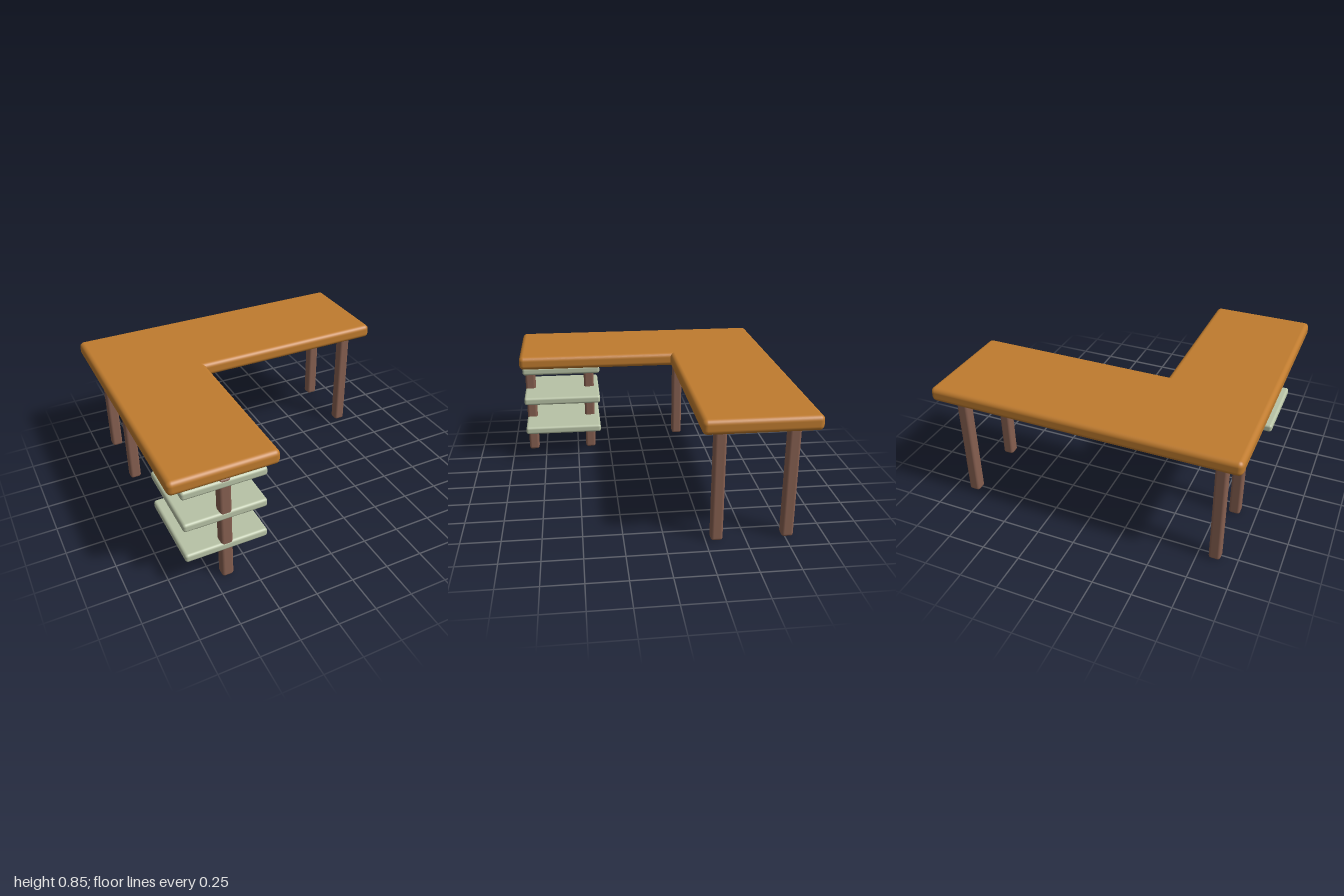
import * as THREE from 'three';
import { RoundedBoxGeometry } from 'three/addons/geometries/RoundedBoxGeometry.js';

const material = (name, color) => {
  const m = new THREE.MeshStandardMaterial({ color });
  m.name = name;
  return m;
};

// Rounded block given by its extents on each axis
function block(name, [x0, x1], [y0, y1], [z0, z1], radius, segments, mat) {
  const geometry = new RoundedBoxGeometry(x1 - x0, y1 - y0, z1 - z0, segments, radius);
  const mesh = new THREE.Mesh(geometry, mat);
  mesh.position.set((x0 + x1) / 2, (y0 + y1) / 2, (z0 + z1) / 2);
  mesh.name = name;
  return mesh;
}

export function createModel() {
  const wood = material('warm wood', 0xbf7b2e);
  const brown = material('dark brown', 0x865f50);
  const sage = material('sage green', 0xb8c3a6);

  const desk = new THREE.Group();
  desk.name = 'cornerDesk';

  // L-shaped top made of two overlapping slabs
  desk.add(block('mainTop', [-1, 1], [0.75, 0.845], [-0.9, -0.19], 0.032, 4, wood));
  desk.add(block('returnTop', [-1, -0.315], [0.75, 0.845], [-0.41, 0.9], 0.032, 4, wood));

  // Four legs under the main top, two under the return
  const legs = new THREE.Group();
  legs.name = 'legs';
  const half = 0.0375;
  const spots = [
    [-0.858, -0.765], [-0.858, -0.32],
    [0.855, -0.765], [0.855, -0.32],
    [-0.657, 0.4], [-0.657, 0.845],
  ];
  for (const [x, z] of spots) {
    legs.add(block('leg', [x - half, x + half], [0, 0.752], [z - half, z + half], 0.018, 2, brown));
  }
  desk.add(legs);

  // Three open shelves threaded on the return legs
  const shelves = new THREE.Group();
  shelves.name = 'shelves';
  for (const y of [0.22, 0.453, 0.686]) {
    shelves.add(block('shelf', [-0.922, -0.392], [y, y + 0.057], [0.325, 0.885], 0.018, 3, sage));
  }
  desk.add(shelves);

  return desk;
}
